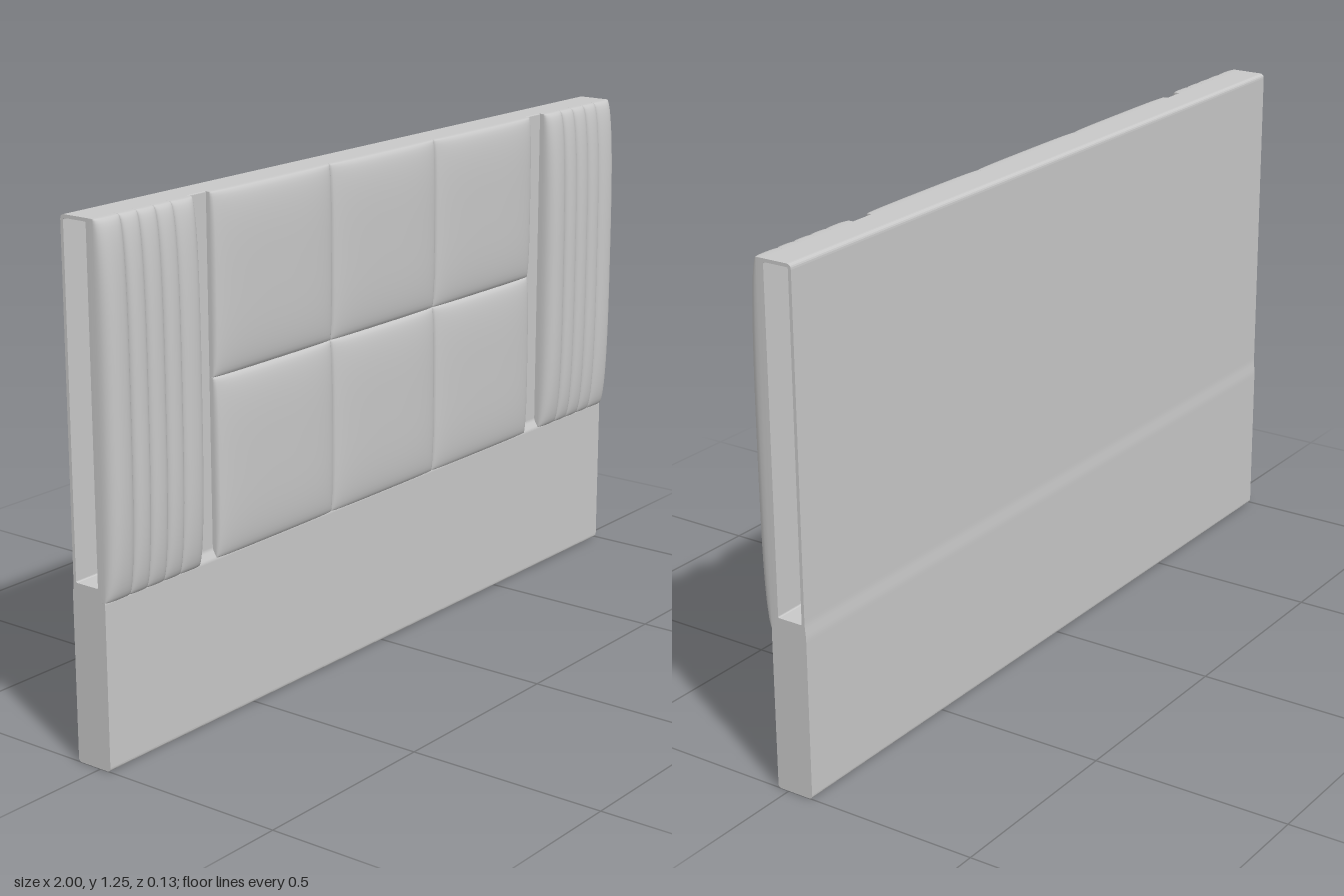
import * as THREE from 'three';

const upholstery = new THREE.MeshStandardMaterial({ color: 0xc8c8c8 });
upholstery.name = 'grey upholstery';

const BACK_Z = 0.015; // cushions are seated on the front skin

// Rounded fall-off from the middle (1) to the edge (0)
const dome = (t, p) => Math.pow(Math.max(0, 1 - Math.pow(Math.abs(t), p)), 1 / p);

// Pillow over a rectangle; edgeL / edgeR keep part of the height at the side seams
function cushion(name, x0, x1, y0, y1, o) {
  const nx = o.nx, ny = o.ny;
  const geo = new THREE.PlaneGeometry(1, 1, nx + 2, ny + 2);
  const pos = geo.attributes.position;
  for (let j = 0, k = 0; j <= ny + 2; j++) {
    for (let i = 0; i <= nx + 2; i++, k++) {
      const a = THREE.MathUtils.clamp(i - 1, 0, nx) / nx;
      const b = THREE.MathUtils.clamp(j - 1, 0, ny) / ny;
      const u = -Math.cos(a * Math.PI), v = Math.cos(b * Math.PI); // denser at the seams
      const skirt = i === 0 || j === 0 || i === nx + 2 || j === ny + 2;
      const e = u < 0 ? o.edgeL : o.edgeR;
      const z = o.rim + o.height * dome(v, o.py) * (e + (1 - e) * dome(u, o.px));
      pos.setXYZ(k, x0 + (x1 - x0) * (u + 1) / 2, y0 + (y1 - y0) * (v + 1) / 2, skirt ? BACK_Z : z);
    }
  }
  geo.computeVertexNormals();
  const mesh = new THREE.Mesh(geo, upholstery);
  mesh.name = name;
  return mesh;
}

// Closed path through points [x, y, radius] with rounded corners
function roundedPath(path, pts) {
  pts.forEach(([x, y, r], i) => {
    const p = new THREE.Vector2(x, y);
    const [ax, ay] = pts[(i + pts.length - 1) % pts.length];
    const [bx, by] = pts[(i + 1) % pts.length];
    const a = new THREE.Vector2(ax, ay).sub(p).setLength(r).add(p);
    const b = new THREE.Vector2(bx, by).sub(p).setLength(r).add(p);
    if (i === 0) path.moveTo(a.x, a.y); else path.lineTo(a.x, a.y);
    path.quadraticCurveTo(x, y, b.x, b.y);
  });
  path.closePath();
  return path;
}

// Side profile (x is -z): solid base below, thin hollow sleeve above
function frame() {
  const shape = roundedPath(new THREE.Shape(), [
    [-0.03, 0, 0.01], [0.067, 0, 0.01], [0.067, 0.4, 0.01], [0.064, 0.43, 0.01],
    [0.064, 1.255, 0.012], [-0.018, 1.255, 0.003], [-0.018, 0.42, 0.005], [-0.03, 0.4, 0.005],
  ]);
  shape.holes.push(roundedPath(new THREE.Path(), [
    [-0.01, 0.43, 0.004], [-0.01, 1.247, 0.004], [0.056, 1.247, 0.004], [0.056, 0.43, 0.004],
  ]));
  const geo = new THREE.ExtrudeGeometry(shape, { depth: 2, bevelEnabled: false, curveSegments: 5 });
  geo.translate(0, 0, -1).rotateY(Math.PI / 2);
  const mesh = new THREE.Mesh(geo, upholstery);
  mesh.name = 'frame';
  return mesh;
}

export function createModel() {
  const model = new THREE.Group();
  model.name = 'headboard';
  model.add(frame());

  // Six square pillows in the middle
  const panels = new THREE.Group();
  panels.name = 'centrePanels';
  const xs = [-0.63, -0.208, 0.203, 0.625], ys = [0.4, 0.83, 1.255];
  for (let r = 0; r < 2; r++) {
    for (let c = 0; c < 3; c++) {
      panels.add(cushion('squarePanel', xs[c], xs[c + 1], ys[r], ys[r + 1],
        { rim: 0.027, height: 0.027, px: 3.2, py: 3.2, edgeL: 0, edgeR: 0, nx: 28, ny: 28 }));
    }
  }
  model.add(panels);

  // Five vertical channels on each side
  const seams = [0.69, 0.762, 0.816, 0.871, 0.925, 1];
  for (const side of [-1, 1]) {
    const channels = new THREE.Group();
    channels.name = side > 0 ? 'leftChannels' : 'rightChannels';
    for (let i = 0; i < 5; i++) {
      const inner = i === 0 ? 0 : 0.45, outer = i === 4 ? 0 : 0.45;
      const [x0, x1] = side > 0 ? [seams[i], seams[i + 1]] : [-seams[i + 1], -seams[i]];
      channels.add(cushion('channel', x0, x1, 0.4, 1.255, {
        rim: 0.029, height: 0.038, px: 2.3, py: 3, nx: 14, ny: 40,
        edgeL: side > 0 ? inner : outer, edgeR: side > 0 ? outer : inner,
      }));
    }
    model.add(channels);
  }
  return model;
}
